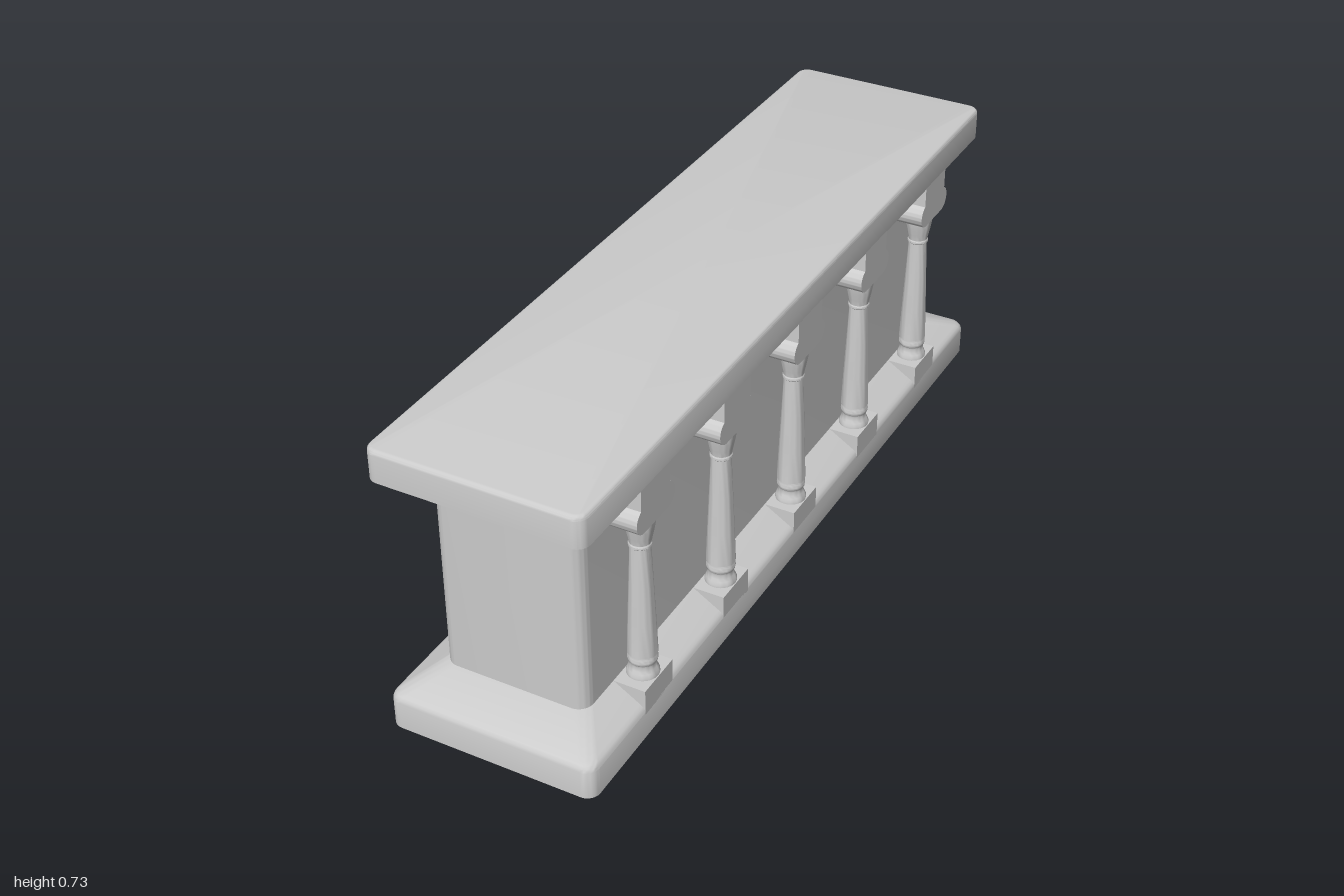
import * as THREE from 'three';
import { toCreasedNormals } from 'three/addons/utils/BufferGeometryUtils.js';

const material = new THREE.MeshStandardMaterial({ color: 0xcccccc });

function part(name, geometry) {
  const mesh = new THREE.Mesh(geometry, material);
  mesh.name = name;
  return mesh;
}

// Closed loft of rounded rectangles; each section is [halfX, halfZ, y, cornerRadius]
function loft(sections) {
  const arcSteps = 6, n = 4 * (arcSteps + 1);
  const positions = [], index = [];
  for (const [hx, hz, y, r] of sections) {
    for (let q = 0; q < 4; q++) {
      const sx = q === 0 || q === 3 ? 1 : -1, sz = q < 2 ? 1 : -1;
      for (let k = 0; k <= arcSteps; k++) {
        const a = (q + k / arcSteps) * Math.PI / 2;
        positions.push(sx * (hx - r) + r * Math.cos(a), y, sz * (hz - r) + r * Math.sin(a));
      }
    }
  }
  const last = sections.length - 1;
  for (let i = 0; i < last; i++) {
    for (let j = 0; j < n; j++) {
      const a = i * n + j, b = i * n + (j + 1) % n;
      index.push(a, a + n, b, b, a + n, b + n);
    }
  }
  const bottom = positions.length / 3, top = bottom + 1;
  positions.push(0, sections[0][2], 0, 0, sections[last][2], 0);
  for (let j = 0; j < n; j++) {
    const k = (j + 1) % n;
    index.push(bottom, j, k, top, last * n + k, last * n + j);
  }
  const geometry = new THREE.BufferGeometry();
  geometry.setAttribute('position', new THREE.Float32BufferAttribute(positions, 3));
  geometry.setIndex(index);
  return toCreasedNormals(geometry, 0.5);
}

// Plinth with a softened shoulder and a sloped top
function plinthGeometry() {
  return loft([
    [0.256, 1, 0, 0.03],
    [0.256, 1, 0.07, 0.03],
    [0.254, 0.998, 0.077, 0.03],
    [0.25, 0.994, 0.083, 0.03],
    [0.243, 0.985, 0.088, 0.03],
    [0.178, 0.893, 0.128, 0.03],
  ]);
}

// Counter top: sloped underside, straight edge, rounded upper rim
function counterTopGeometry() {
  const sections = [[0.178, 0.893, 0.607, 0.03], [0.256, 1, 0.655, 0.03]];
  const rim = 0.011;
  for (let k = 0; k <= 4; k++) {
    const a = k / 4 * Math.PI / 2, inset = rim * (1 - Math.cos(a));
    sections.push([0.256 - inset, 1 - inset, 0.733 - rim + rim * Math.sin(a), 0.03 - inset]);
  }
  return loft(sections);
}

// U-shaped plan: rounded outer corners, deep recess open to -x
function bodyGeometry() {
  const x = 0.178, z = 0.893, r = 0.035, recessZ = 0.795, recessX = 0.03;
  const s = new THREE.Shape();
  s.moveTo(-x, -recessZ);
  s.lineTo(-x, -z + r);
  s.absarc(-x + r, -z + r, r, Math.PI, Math.PI * 1.5, false);
  s.absarc(x - r, -z + r, r, Math.PI * 1.5, Math.PI * 2, false);
  s.absarc(x - r, z - r, r, 0, Math.PI / 2, false);
  s.absarc(-x + r, z - r, r, Math.PI / 2, Math.PI, false);
  s.lineTo(-x, recessZ);
  s.lineTo(recessX, recessZ);
  s.lineTo(recessX, -recessZ);
  const g = new THREE.ExtrudeGeometry(s, { depth: 0.479, bevelEnabled: false, curveSegments: 8 });
  g.rotateX(-Math.PI / 2).translate(0, 0.128, 0);
  return toCreasedNormals(g, 0.5);
}

// Turned column: foot, ring, tapering shaft, collar and flared neck
function columnGeometry() {
  const profile = [
    [0.037, 0.127], [0.037, 0.134], [0.034, 0.141], [0.031, 0.148], [0.03, 0.158],
    [0.0305, 0.162], [0.033, 0.165], [0.034, 0.171], [0.033, 0.178], [0.031, 0.182],
    [0.031, 0.185], [0.034, 0.186], [0.034, 0.19], [0.031, 0.27], [0.027, 0.37],
    [0.023, 0.469], [0.026, 0.472], [0.026, 0.477], [0.024, 0.48], [0.027, 0.495],
    [0.031, 0.515], [0.0335, 0.53], [0.035, 0.547],
  ].map(([r, y]) => new THREE.Vector2(r, y));
  return toCreasedNormals(new THREE.LatheGeometry(profile, 28), 0.6);
}

// Bracket: square stem above a scroll with rounded ends
function bracketGeometry() {
  const stem = 0.06, r = 0.031, cx = 0.048, cy = 0.576;
  const a = Math.acos((stem - cx) / r), joinY = cy + r * Math.sin(a);
  const s = new THREE.Shape();
  s.moveTo(-stem, 0.657);
  s.lineTo(-stem, joinY);
  s.absarc(-cx, cy, r, Math.PI - a, Math.PI * 1.5, false);
  s.absarc(cx, cy, r, -Math.PI / 2, a, false);
  s.lineTo(stem, 0.657);
  const g = new THREE.ExtrudeGeometry(s, { depth: 0.082, bevelEnabled: false, curveSegments: 14 });
  g.rotateY(Math.PI / 2).translate(0.174, 0, 0);
  return toCreasedNormals(g, 0.5);
}

export function createModel() {
  const model = new THREE.Group();
  model.name = 'barCounter';
  model.add(
    part('plinth', plinthGeometry()),
    part('body', bodyGeometry()),
    part('counterTop', counterTopGeometry()),
  );

  // Row of five columns along the +x side
  const column = columnGeometry().translate(0.217, 0, 0);
  const bracket = bracketGeometry();
  const block = new THREE.BoxGeometry(0.082, 0.064, 0.12).translate(0.215, 0.096, 0);
  for (let i = -2; i <= 2; i++) {
    const support = new THREE.Group();
    support.name = 'columnSupport';
    support.position.z = i * 0.358;
    support.add(part('footBlock', block), part('column', column), part('bracket', bracket));
    model.add(support);
  }
  return model;
}
